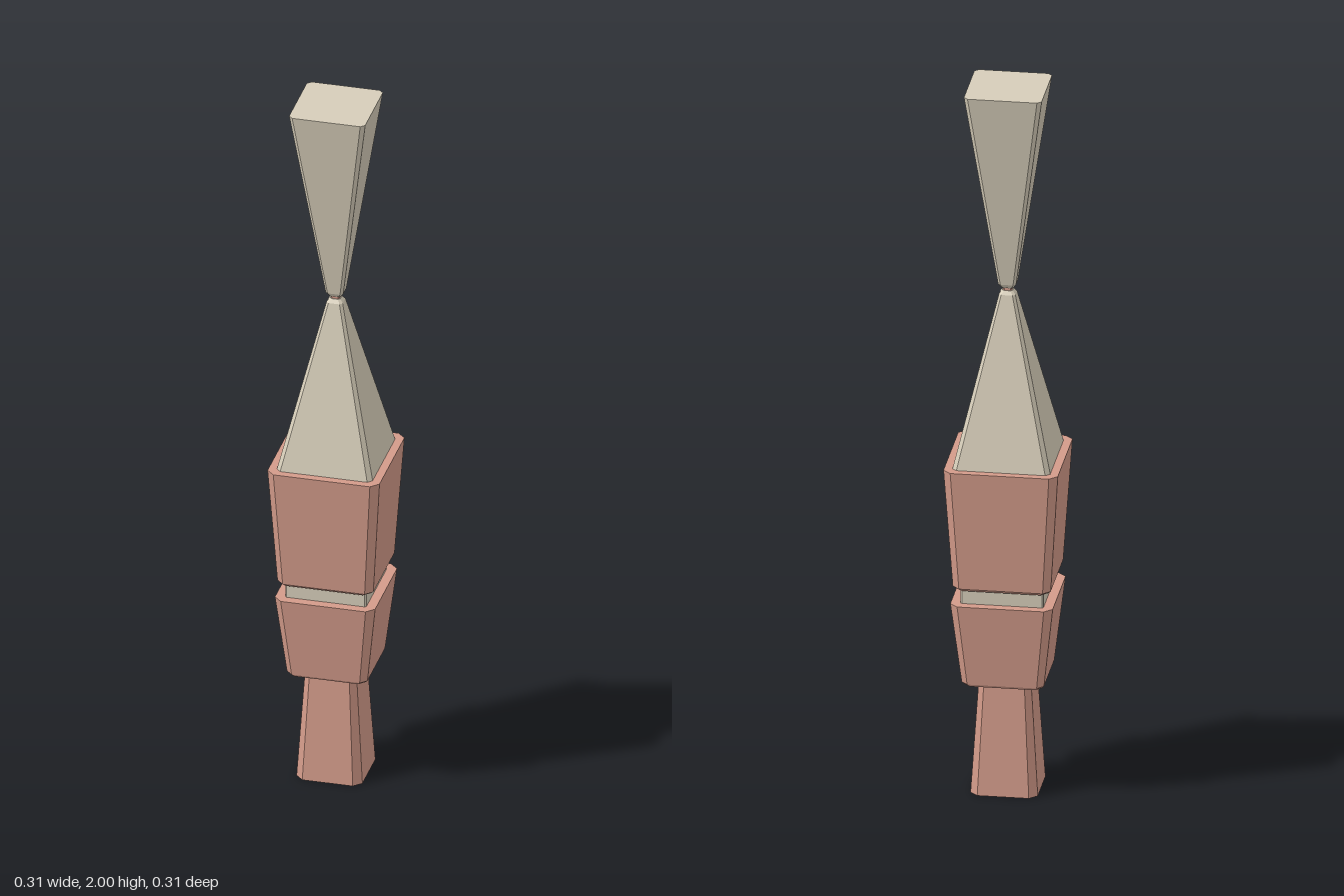
import * as THREE from 'three';

const CREAM = new THREE.MeshStandardMaterial({ color: 0xd6cdb9, flatShading: true });
const CLAY = new THREE.MeshStandardMaterial({ color: 0xd39b8a, flatShading: true });

// Square with cut corners, counter-clockwise seen from above
function ring([y, h, c]) {
  const k = h - c;
  return [[h, k], [h, -k], [k, -h], [-k, -h], [-h, -k], [-h, k], [-k, h], [k, h]]
    .map(([x, z]) => [x, y, z]);
}

// Closed solid through a stack of sections [y, half width, corner cut]
function loft(name, material, sections) {
  const rings = sections.map(ring);
  const pos = [];
  const tri = (a, b, c) => pos.push(...a, ...b, ...c);
  for (let i = 0; i < rings.length - 1; i++) {
    const lo = rings[i], hi = rings[i + 1];
    for (let j = 0; j < 8; j++) {
      const n = (j + 1) % 8;
      tri(lo[j], lo[n], hi[n]);
      tri(lo[j], hi[n], hi[j]);
    }
  }
  const bottom = rings[0], top = rings[rings.length - 1];
  for (let j = 1; j < 7; j++) {
    tri(top[0], top[j], top[j + 1]);
    tri(bottom[0], bottom[j + 1], bottom[j]);
  }
  const geometry = new THREE.BufferGeometry();
  geometry.setAttribute('position', new THREE.Float32BufferAttribute(pos, 3));
  geometry.computeVertexNormals();
  const mesh = new THREE.Mesh(geometry, material);
  mesh.name = name;
  return mesh;
}

export function createModel() {
  const model = new THREE.Group();
  model.name = 'taperedColumn';
  model.add(
    // Foot, flaring towards the ground
    loft('foot', CLAY, [[0, 0.09, 0.021], [0.32, 0.07, 0.016]]),
    // Two blocks widening upwards, with a recessed collar between them
    loft('lowerBlock', CLAY, [[0.317, 0.103, 0.016], [0.325, 0.11, 0.017], [0.557, 0.137, 0.021]]),
    loft('collar', CREAM, [[0.55, 0.111, 0.004], [0.605, 0.111, 0.004]]),
    loft('upperBlock', CLAY, [[0.598, 0.123, 0.018], [0.606, 0.131, 0.019], [0.945, 0.153, 0.021]]),
    // Pyramid narrowing to a thin joint
    loft('pyramid', CREAM, [[0.94, 0.132, 0.012], [1.41, 0.022, 0.007], [1.42, 0.014, 0.005]]),
    loft('joint', CLAY, [[1.415, 0.012, 0.004], [1.432, 0.012, 0.004]]),
    // Inverted spire with a flat top
    loft('spire', CREAM, [[1.428, 0.016, 0.005], [1.44, 0.024, 0.007], [2, 0.104, 0.011]]),
  );
  return model;
}
